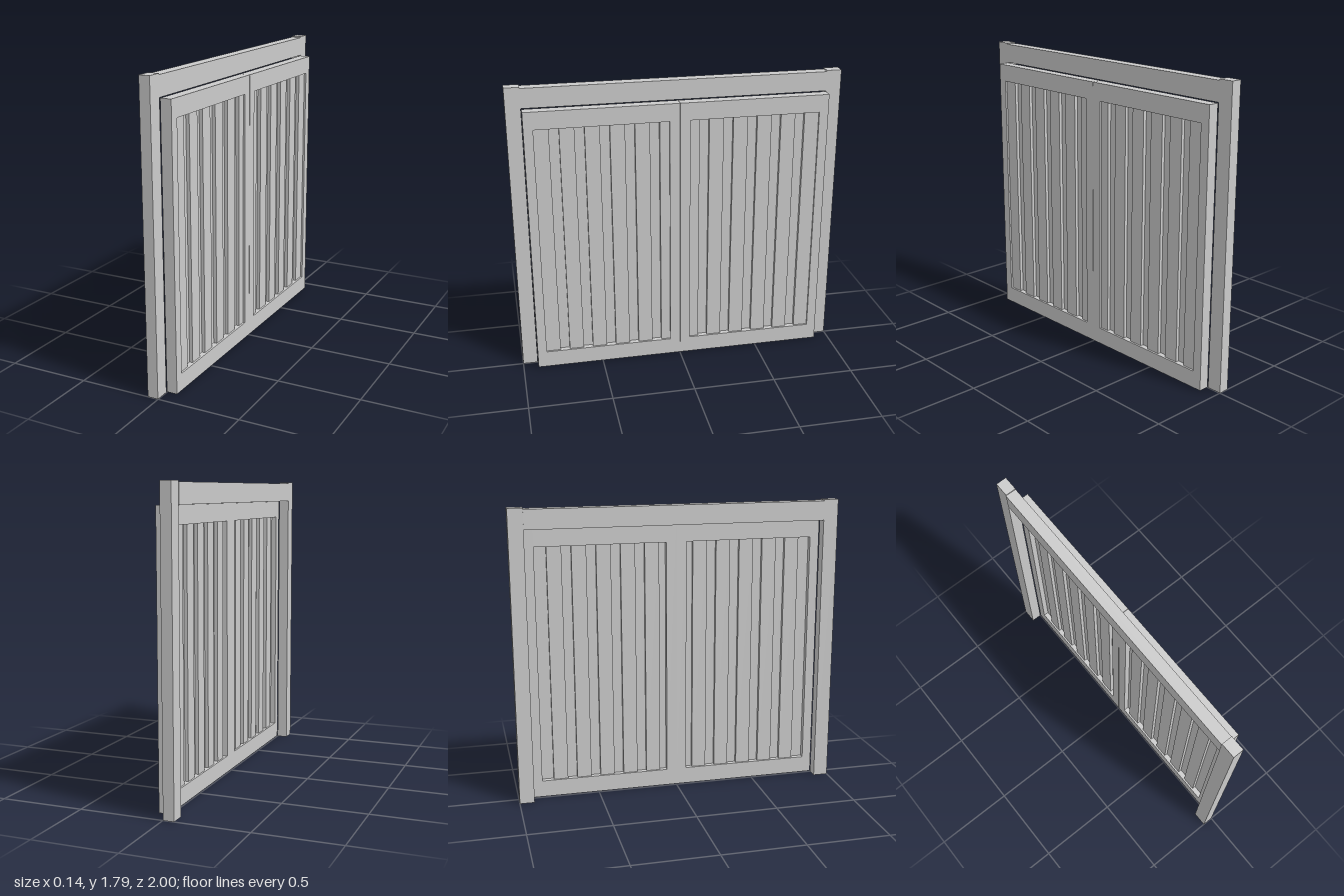
import * as THREE from 'three';

const material = new THREE.MeshStandardMaterial({ color: 0xcccccc });

// Box given by its limits on each axis
function slab(parent, name, [x0, x1], [y0, y1], [z0, z1]) {
  const mesh = new THREE.Mesh(new THREE.BoxGeometry(x1 - x0, y1 - y0, Math.abs(z1 - z0)), material);
  mesh.position.set((x0 + x1) / 2, (y0 + y1) / 2, (z0 + z1) / 2);
  mesh.name = name;
  parent.add(mesh);
}

// One door leaf; side is +1 or -1 along z
function createLeaf(side) {
  const leaf = new THREE.Group();
  leaf.name = side > 0 ? 'frontLeaf' : 'backLeaf';
  const depth = [0.002, 0.067];
  const add = (name, x, y, a, b) => slab(leaf, name, x, y, [side * a, side * b]);
  const bottom = 0.004, top = 1.667, railLow = 0.107, railHigh = 1.56;
  const inner = 0.062, outer = 0.852;

  // Stiles and rails
  add('outerStile', depth, [bottom, top], outer, 0.908);
  add('meetingStile', depth, [bottom, top], 0.001, inner);
  add('bottomRail', depth, [bottom, railLow], inner, outer);
  add('topRail', depth, [railHigh, top], inner, outer);

  // Two overlapping layers of boards, the rear ones covering the gaps
  const pitch = 0.1465, width = 0.088;
  for (let i = 0; i < 6; i++) {
    const start = outer - i * pitch;
    add('outerBoard', [0.034, 0.055], [railLow, railHigh], Math.max(start - width, inner), start);
    const rear = start - 0.0735;
    if (rear - inner > 0.02) {
      add('innerBoard', [0.013, 0.034], [railLow, railHigh], Math.max(rear - width, inner), rear);
    }
  }
  return leaf;
}

export function createModel() {
  const gate = new THREE.Group();
  gate.name = 'doubleGate';

  // Fixed frame: two posts and a lintel
  const frame = new THREE.Group();
  frame.name = 'frame';
  for (const s of [1, -1]) slab(frame, 'post', [-0.066, -0.001], [0, 1.795], [s * 0.91, s]);
  slab(frame, 'lintel', [-0.068, -0.001], [1.67, 1.788], [-0.91, 0.91]);
  gate.add(frame);

  gate.add(createLeaf(1), createLeaf(-1));
  return gate;
}
